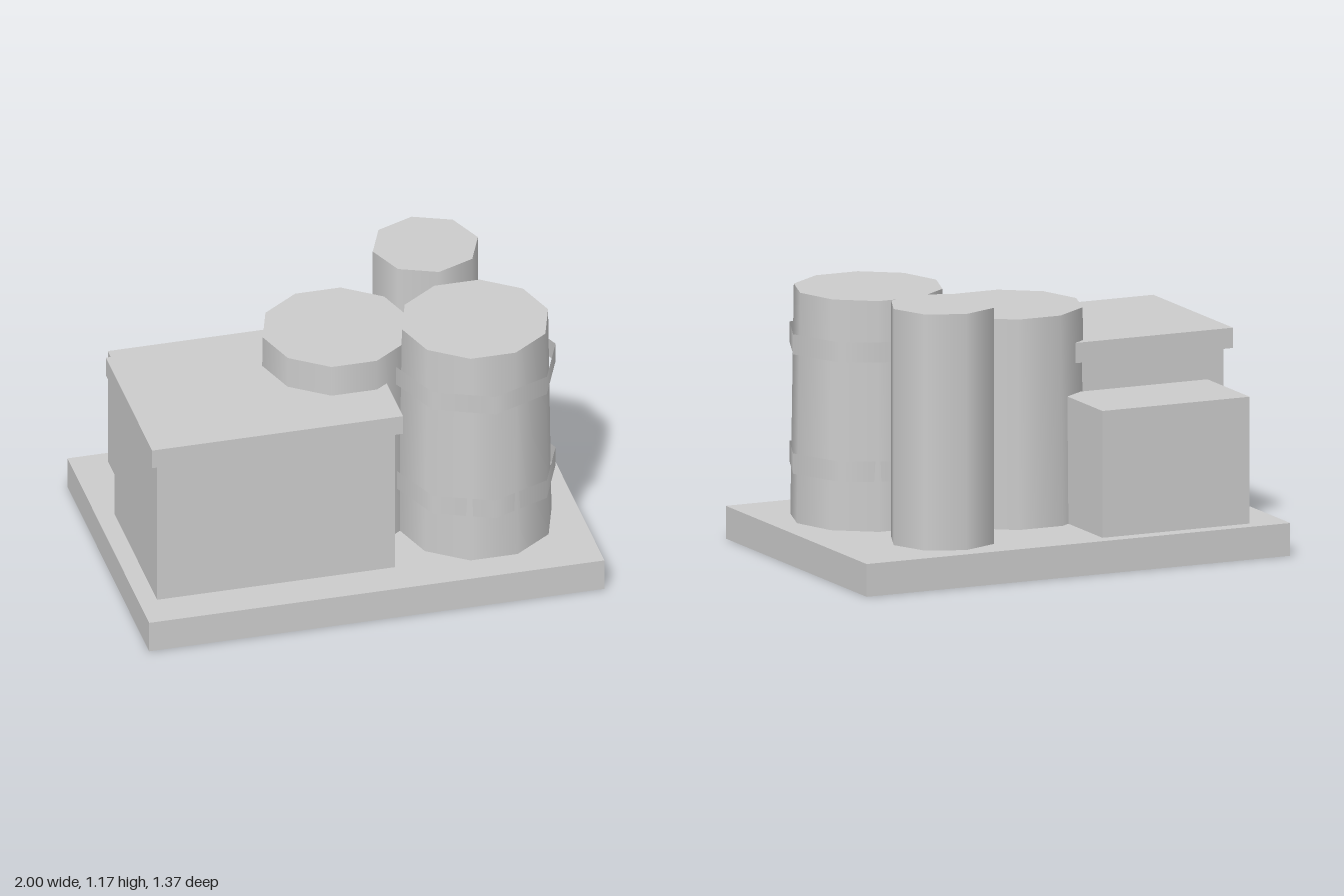
import * as THREE from 'three';

export function createModel() {
  const model = new THREE.Group();
  const grey = new THREE.MeshStandardMaterial({ color: 0xcccccc });
  grey.name = 'lightGrey';
  const greyThin = new THREE.MeshStandardMaterial({ color: 0xcccccc, side: THREE.DoubleSide });
  greyThin.name = 'lightGreyThin';

  function add(name, geometry, x, y, z, material = grey) {
    const mesh = new THREE.Mesh(geometry, material);
    mesh.name = name;
    mesh.position.set(x, y, z);
    model.add(mesh);
    return mesh;
  }

  // Box given by its limits on each axis
  function box(name, x0, x1, y0, y1, z0, z1) {
    add(name, new THREE.BoxGeometry(x1 - x0, y1 - y0, z1 - z0),
      (x0 + x1) / 2, (y0 + y1) / 2, (z0 + z1) / 2);
  }

  // Upright smooth-shaded cylinder with a corner on the x axis
  function tank(name, x, z, y0, y1, rTop, rBottom, sides, open = false) {
    const geometry = new THREE.CylinderGeometry(rTop, rBottom, y1 - y0, sides, 1, open);
    geometry.rotateY(Math.PI / 2);
    add(name, geometry, x, (y0 + y1) / 2, z, open ? greyThin : grey);
  }

  const floor = 0.142;
  box('basePlate', -1, 1, 0, floor, -0.687, 0.687);

  // Main crate with overhanging lid, and a lower crate behind it
  box('crateBody', -0.92, 0.125, floor, 0.822, -0.2, 0.515);
  box('crateLid', -0.95, 0.152, 0.822, 0.91, -0.232, 0.545);
  box('rearCrate', -0.84, -0.145, floor, 0.692, -0.622, -0.21);

  // Slightly tapered drums and a slim straight tank
  tank('middleDrum', 0, 0, floor, 1.052, 0.322, 0.336, 10);
  tank('frontDrum', 0.552, 0.224, floor, 1.14, 0.321, 0.336, 10);
  tank('tallTank', 0.49, -0.374, floor, 1.166, 0.231, 0.231, 8);

  // Open hoops around the front drum
  for (const [name, y0, y1] of [['lowerHoop', 0.358, 0.446], ['upperHoop', 0.876, 0.963]]) {
    tank(name, 0.552, 0.224, y0, y1, 0.354, 0.354, 8, true);
  }
  return model;
}
